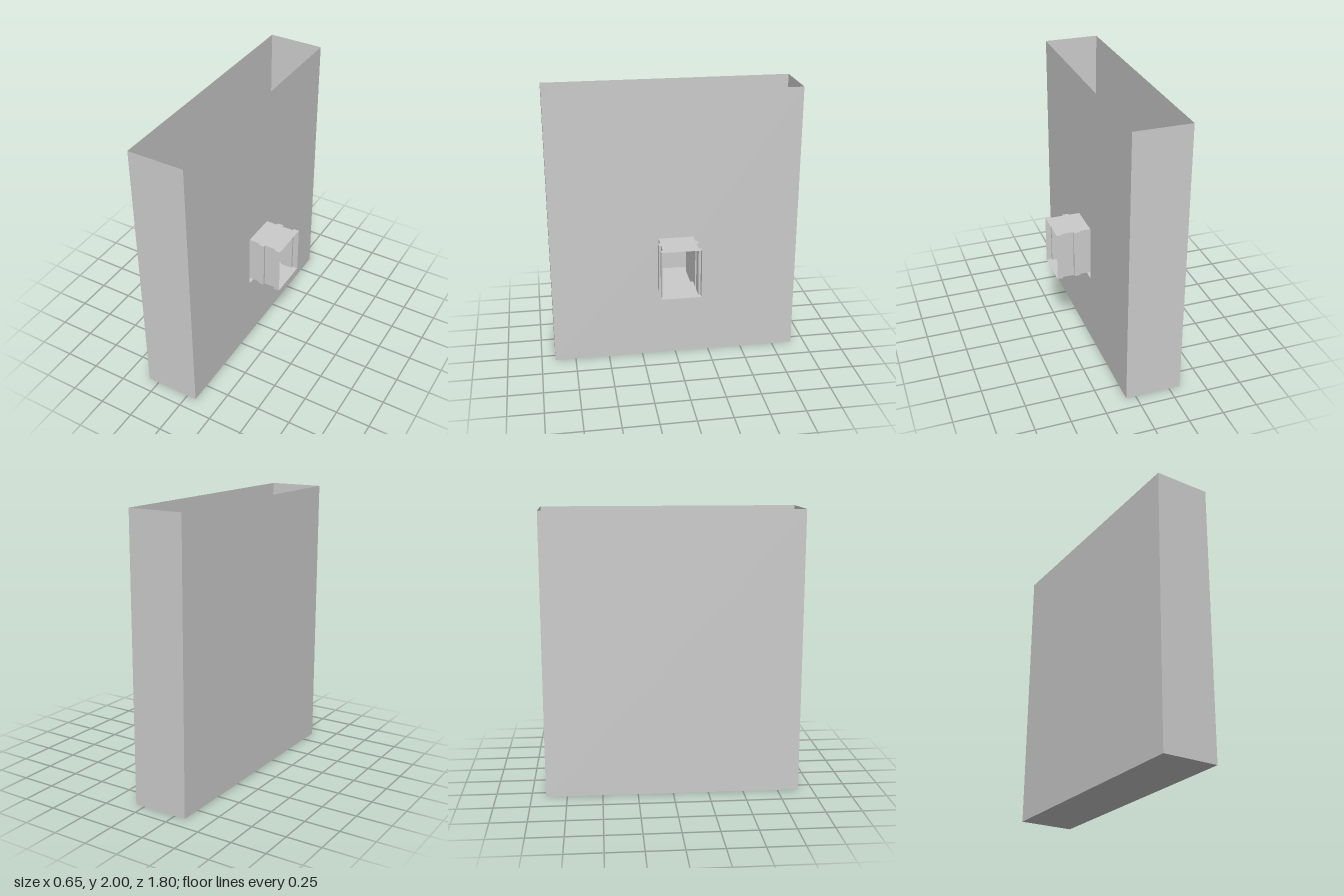
import * as THREE from 'three';
import { mergeGeometries } from 'three/addons/utils/BufferGeometryUtils.js';

const material = new THREE.MeshStandardMaterial({ color: 0xcccccc, side: THREE.DoubleSide, flatShading: true });
const X0 = -0.33, X1 = 0.07, HEIGHT = 2, HALF_Z = 0.9, DUCT_Z = -0.005;

function part(name, geometry) {
  const mesh = new THREE.Mesh(geometry, material);
  mesh.name = name;
  return mesh;
}

// Thin sheet duct: a mirrored plan profile of [x, halfWidth] points, raised from y0 to y1
function duct(name, profile, y0, y1) {
  const pieces = [];
  for (const side of [1, -1]) {
    for (let i = 0; i < profile.length - 1; i++) {
      const [ax, aw] = profile[i], [bx, bw] = profile[i + 1];
      const wall = new THREE.PlaneGeometry(Math.hypot(bx - ax, bw - aw), y1 - y0);
      wall.rotateY(-Math.atan2((bw - aw) * side, bx - ax));
      wall.translate((ax + bx) / 2, (y0 + y1) / 2, DUCT_Z + side * (aw + bw) / 2);
      // outward normals on both mirrored sides
      if (side < 0) {
        wall.index.array.reverse();
        const n = wall.attributes.normal;
        for (let k = 0; k < n.array.length; k++) n.array[k] *= -1;
      }
      pieces.push(wall);
    }
  }
  const outline = [...profile, ...profile.map(([x, w]) => [x, -w]).reverse()]
    .map(([x, w]) => new THREE.Vector2(x, w + DUCT_Z));
  const plan = new THREE.Shape(outline);
  pieces.push(new THREE.ShapeGeometry(plan).rotateX(Math.PI / 2).translate(0, y0, 0));
  const lid = new THREE.Shape(outline.map(p => new THREE.Vector2(p.x, -p.y)));
  pieces.push(new THREE.ShapeGeometry(lid).rotateX(-Math.PI / 2).translate(0, y1, 0));
  return part(name, mergeGeometries(pieces));
}

// Side wall with the opening for the duct, lower corners slightly rounded
function piercedWall() {
  const s = new THREE.Shape();
  s.moveTo(-HALF_Z, 0).lineTo(HALF_Z, 0).lineTo(HALF_Z, HEIGHT).lineTo(-HALF_Z, HEIGHT);
  const l = -DUCT_Z - 0.127, r = -DUCT_Z + 0.127, b = 0.515, t = 0.89, c = 0.01;
  const hole = new THREE.Path();
  hole.moveTo(l, t).lineTo(l, b + c).quadraticCurveTo(l, b, l + c, b);
  hole.lineTo(r - c, b).quadraticCurveTo(r, b, r, b + c).lineTo(r, t);
  s.holes.push(hole);
  return new THREE.ShapeGeometry(s, 4).rotateY(Math.PI / 2).translate(X1, 0, 0);
}

export function createModel() {
  const group = new THREE.Group();
  const depth = X1 - X0, midX = (X0 + X1) / 2;

  // Open-topped casing
  group.add(part('piercedWall', piercedWall()));
  group.add(part('plainWall', new THREE.PlaneGeometry(HALF_Z * 2, HEIGHT).rotateY(-Math.PI / 2).translate(X0, HEIGHT / 2, 0)));
  group.add(part('frontWall', new THREE.PlaneGeometry(depth, HEIGHT).translate(midX, HEIGHT / 2, HALF_Z)));
  group.add(part('backWall', new THREE.PlaneGeometry(depth, HEIGHT).rotateY(Math.PI).translate(midX, HEIGHT / 2, -HALF_Z)));
  group.add(part('casingFloor', new THREE.PlaneGeometry(depth, HALF_Z * 2).rotateX(Math.PI / 2).translate(midX, 0, 0)));

  // T-shaped duct inside the casing
  group.add(duct('innerDuct', [[-0.31, 0], [-0.31, 0.212], [-0.23, 0.212], [-0.23, 0.127], [X1, 0.127]], 0.515, 0.89));

  // Ribbed spout outside, open at its end
  group.add(duct('ribbedSpout', [
    [X1, 0.127], [0.152, 0.127], [0.152, 0.143], [0.197, 0.143], [0.197, 0.127],
    [0.284, 0.127], [0.284, 0.143], [0.325, 0.143],
  ], 0.57, 0.93));
  return group;
}
